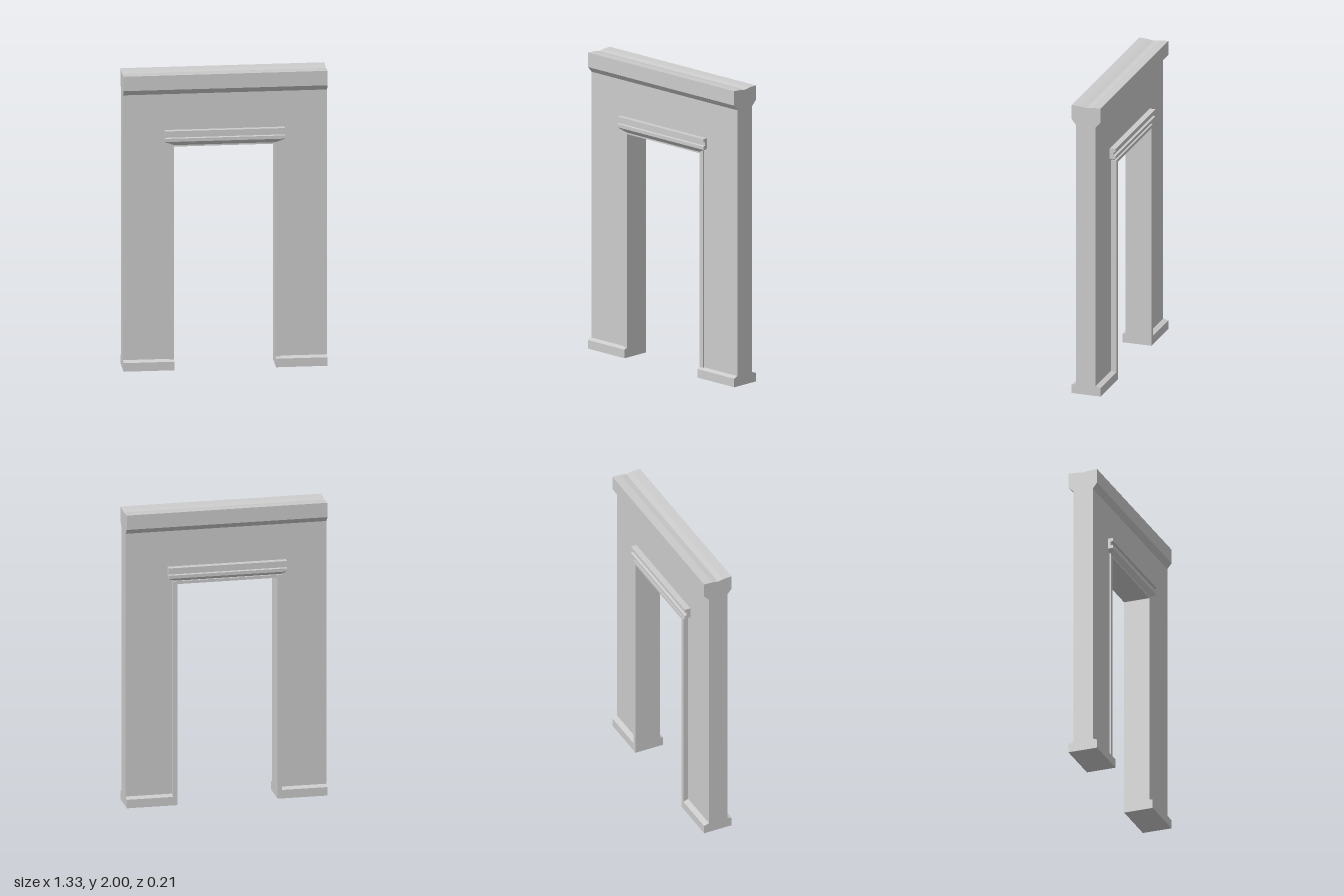
import * as THREE from 'three';

const material = new THREE.MeshStandardMaterial({ color: 0xcccccc, flatShading: true });

function addMesh(group, name, geometry) {
  const mesh = new THREE.Mesh(geometry, material);
  mesh.name = name;
  group.add(mesh);
}

function shapeOf(points) {
  return new THREE.Shape(points.map(([x, y]) => new THREE.Vector2(x, y)));
}

// Extrude an outline drawn in x, y from z0 to z1
function slab(points, z0, z1) {
  return new THREE.ExtrudeGeometry(shapeOf(points), { depth: z1 - z0, bevelEnabled: false })
    .translate(0, 0, z0);
}

// Run a moulding profile drawn in z, y from x0 to x1
function moulding(profile, x0, x1) {
  return slab(profile.map(([z, y]) => [-z, y]), x0, x1).rotateY(Math.PI / 2);
}

// Doorway outline: an upside-down U
function archway(x0, x1, top, in0, in1, inTop, bottom) {
  return [[x0, bottom], [in0, bottom], [in0, inTop], [in1, inTop],
    [in1, bottom], [x1, bottom], [x1, top], [x0, top]];
}

// Solid through stacked rectangles [y, x0, x1, halfDepth], listed bottom to top
function rectangleStack(levels) {
  const rings = levels.map(([y, x0, x1, d]) => [[x0, y, d], [x1, y, d], [x1, y, -d], [x0, y, -d]]);
  const positions = [];
  const quad = (a, b, c, d) => positions.push(...a, ...b, ...c, ...a, ...c, ...d);
  for (let i = 0; i + 1 < rings.length; i++) {
    for (let j = 0; j < 4; j++) {
      const k = (j + 1) % 4;
      quad(rings[i][j], rings[i][k], rings[i + 1][k], rings[i + 1][j]);
    }
  }
  quad(...[...rings[0]].reverse());
  quad(...rings[rings.length - 1]);
  const geometry = new THREE.BufferGeometry();
  geometry.setAttribute('position', new THREE.Float32BufferAttribute(positions, 3));
  geometry.computeVertexNormals();
  return geometry;
}

export function createModel() {
  const group = new THREE.Group();
  group.name = 'doorwayWall';
  const side = 0.667, left = 0.33, right = -0.335;

  // Wall panel around the door frame
  addMesh(group, 'wall', slab(
    archway(-side, side, 1.87, right - 0.03, left + 0.03, 1.53, 0.065), -0.065, 0.07));

  // Door frame, nearly flush in front and proud at the back
  addMesh(group, 'doorFrame', slab(
    archway(right - 0.03, left + 0.03, 1.53, right, left, 1.51, 0.055), -0.1, 0.078));

  // Cornice with sloped underside and shallow dip along the top
  addMesh(group, 'cornice', moulding([
    [0.07, 1.865], [0.1, 1.902], [0.1, 2], [0.04, 1.997], [0, 1.99],
    [-0.04, 1.997], [-0.1, 2], [-0.1, 1.902], [-0.065, 1.865]], -side, side));

  // Plinths with a small bevel
  const plinth = [[0.1, 0], [0.1, 0.058], [0.07, 0.07], [-0.065, 0.07], [-0.1, 0.058], [-0.1, 0]];
  addMesh(group, 'leftPlinth', moulding(plinth, left, side));
  addMesh(group, 'rightPlinth', moulding(plinth, -side, right));

  // Grooved lintel moulding on both faces
  const x0 = -0.397, x1 = 0.389;
  addMesh(group, 'lintel', rectangleStack([
    [1.52, right, left, 0.078], [1.55, x0, x1, 0.105], [1.572, x0, x1, 0.105],
    [1.575, x0, x1, 0.09], [1.597, x0, x1, 0.09], [1.6, x0, x1, 0.105], [1.622, x0, x1, 0.105]]));

  return group;
}
